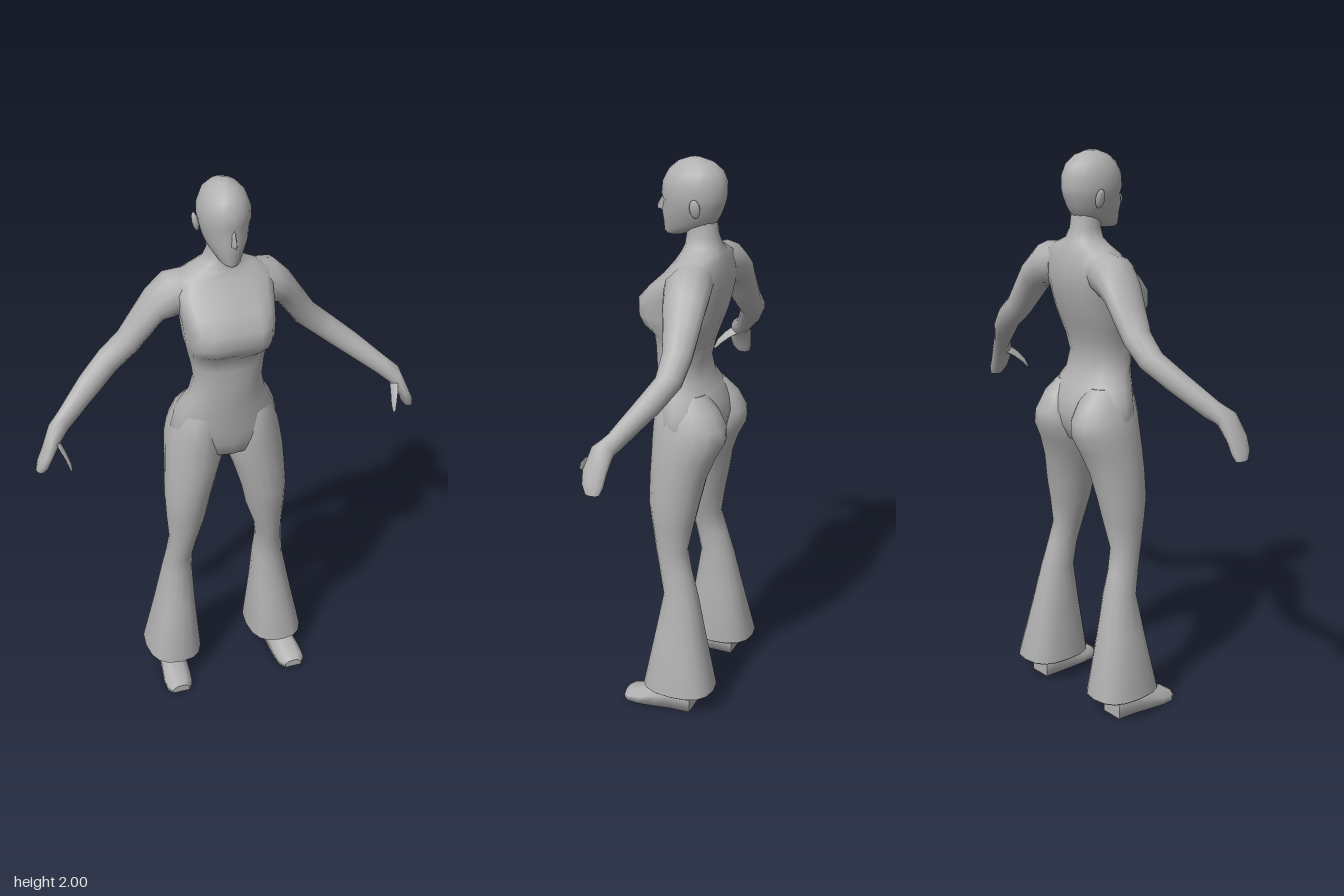
import * as THREE from 'three';

const grey = new THREE.MeshStandardMaterial({ color: 0xb0b0b0 });
grey.name = 'plain grey';
const SEG = 16;

// Skin a list of equal-length rings, cap both ends, and face it outward
function loft(name, rings, side = 1) {
  const n = rings[0].length, pos = [], idx = [];
  const add = (p) => pos.push(p[0] * side, p[1], p[2]);
  rings.forEach((r) => r.forEach(add));
  for (let i = 0; i < rings.length - 1; i++) {
    for (let j = 0; j < n; j++) {
      const a = i * n + j, b = i * n + (j + 1) % n;
      idx.push(a, b, a + n, b, b + n, a + n);
    }
  }
  [rings[0], rings[rings.length - 1]].forEach((r, end) => {
    const base = pos.length / 3;
    r.forEach(add);
    add([0, 1, 2].map((k) => r.reduce((s, p) => s + p[k], 0) / n));
    for (let j = 0; j < n; j++) {
      const a = base + j, b = base + (j + 1) % n;
      if (end) idx.push(a, b, base + n); else idx.push(b, a, base + n);
    }
  });
  // Signed volume tells whether the winding must be reversed
  const v = (i) => new THREE.Vector3().fromArray(pos, i * 3);
  let volume = 0;
  for (let i = 0; i < idx.length; i += 3) {
    volume += v(idx[i]).dot(v(idx[i + 1]).cross(v(idx[i + 2])));
  }
  if (volume < 0) idx.reverse();
  const g = new THREE.BufferGeometry();
  g.setAttribute('position', new THREE.Float32BufferAttribute(pos, 3));
  g.setIndex(idx);
  g.computeVertexNormals();
  const mesh = new THREE.Mesh(g, grey);
  mesh.name = name;
  return mesh;
}

const power = (v, e) => Math.sign(v) * Math.abs(v) ** e;

// Level cross-section: height, x range, front and back depth, squareness, centre dip
function level(y, x0, x1, front, back, e = 1, dip = 0) {
  return Array.from({ length: SEG }, (_, j) => {
    const a = (j / SEG) * Math.PI * 2, s = Math.sin(a);
    const x = (x0 + x1) / 2 + ((x1 - x0) / 2) * power(Math.cos(a), e);
    const z = (front + back) / 2 + ((front - back) / 2) * power(s, e);
    return [x, y, z - (s > 0.99 ? dip : 0)];
  });
}
const centred = (y, rx, front, back, e, dip) => level(y, -rx, rx, front, back, e, dip);

// Limb cross-section from its upper and lower edge in x, y and its depth
function limb(tx, ty, bx, by, z, rz, n = 12) {
  return Array.from({ length: n }, (_, j) => {
    const a = (j / n) * Math.PI * 2, t = (1 + Math.cos(a)) / 2;
    return [bx + (tx - bx) * t, by + (ty - by) * t, z + rz * Math.sin(a)];
  });
}

// Shoe cross-section at depth z, flat on the ground
function shoeSlice(z, x0, x1, top) {
  const w = x1 - x0;
  return [[x0, 0, z], [x1, 0, z], [x1, top * 0.55, z], [x1 - w * 0.25, top, z],
    [x0 + w * 0.25, top, z], [x0, top * 0.55, z]];
}

export function createModel() {
  const model = new THREE.Group();
  model.name = 'standingFigure';

  // Torso and neck
  model.add(loft('torso', [
    [0.965, 0.02, 0.03, -0.05], [1.0, 0.12, 0.085, -0.1], [1.05, 0.185, 0.098, -0.125],
    [1.1, 0.196, 0.102, -0.135], [1.15, 0.183, 0.106, -0.125], [1.2, 0.16, 0.11, -0.1],
    [1.24, 0.137, 0.115, -0.076], [1.3, 0.121, 0.117, -0.062, 0.9], [1.36, 0.128, 0.117, -0.075, 0.85],
    [1.405, 0.138, 0.12, -0.09, 0.8], [1.435, 0.146, 0.156, -0.1, 0.72, 0.012],
    [1.47, 0.15, 0.174, -0.112, 0.68, 0.015], [1.52, 0.155, 0.171, -0.125, 0.68, 0.015],
    [1.57, 0.165, 0.128, -0.134, 0.72, 0.006], [1.62, 0.175, 0.075, -0.133, 0.8],
    [1.665, 0.165, 0.038, -0.124, 0.9], [1.69, 0.11, 0.026, -0.115], [1.71, 0.066, 0.02, -0.107],
    [1.745, 0.05, 0.016, -0.096], [1.8, 0.048, 0.016, -0.088],
  ].map((r) => centred(...r))));

  // Head with jaw, brow and rounded crown
  model.add(loft('head', [
    [1.737, 0.022, 0.092, 0.03], [1.748, 0.036, 0.098, 0.0], [1.78, 0.057, 0.1, -0.085],
    [1.82, 0.075, 0.104, -0.107], [1.855, 0.083, 0.096, -0.12], [1.878, 0.087, 0.104, -0.125],
    [1.92, 0.086, 0.1, -0.125], [1.958, 0.072, 0.08, -0.11], [1.985, 0.047, 0.048, -0.078],
    [2.0, 0.016, 0.008, -0.032],
  ].map((r) => centred(...r))));

  // Nose
  model.add(loft('nose', [
    [[-0.016, 1.812, 0.085], [0.016, 1.812, 0.085], [0, 1.815, 0.125]],
    [[-0.014, 1.828, 0.085], [0.014, 1.828, 0.085], [0, 1.828, 0.126]],
    [[-0.007, 1.87, 0.085], [0.007, 1.87, 0.085], [0, 1.87, 0.102]],
  ]));

  for (const side of [1, -1]) {
    const label = side > 0 ? 'left' : 'right';

    // Ear
    const ear = new THREE.Mesh(new THREE.SphereGeometry(1, 8, 6), grey);
    ear.name = label + 'Ear';
    ear.scale.set(0.011, 0.034, 0.02);
    ear.position.set(side * 0.086, 1.85, -0.045);
    ear.rotation.z = -side * 0.2;
    model.add(ear);

    // Arm running into a flat hand
    model.add(loft(label + 'Arm', [
      [0.1, 1.685, 0.11, 1.53, -0.05, 0.07], [0.19, 1.672, 0.165, 1.52, -0.055, 0.083],
      [0.25, 1.61, 0.205, 1.505, -0.065, 0.076], [0.3, 1.535, 0.245, 1.45, -0.073, 0.064],
      [0.35, 1.46, 0.29, 1.39, -0.08, 0.052], [0.42, 1.397, 0.36, 1.33, -0.08, 0.045],
      [0.5, 1.333, 0.445, 1.27, -0.04, 0.044], [0.59, 1.255, 0.56, 1.19, 0.02, 0.033],
      [0.632, 1.222, 0.597, 1.165, 0.05, 0.04], [0.663, 1.145, 0.63, 1.12, 0.065, 0.043],
      [0.683, 1.1, 0.645, 1.085, 0.065, 0.038], [0.69, 1.068, 0.658, 1.065, 0.062, 0.025],
    ].map((r) => limb(...r)), side));

    // Thumb
    model.add(loft(label + 'Thumb', [
      [0.625, 1.195, 0.6, 1.165, 0.06, 0.022, 6], [0.615, 1.165, 0.588, 1.14, 0.1, 0.017, 6],
      [0.6, 1.135, 0.58, 1.115, 0.128, 0.013, 6], [0.59, 1.105, 0.58, 1.095, 0.145, 0.006, 6],
    ].map((r) => limb(...r)), side));

    // Flared trouser leg, with the buttock at its top
    model.add(loft(label + 'TrouserLeg', [
      [1.2, 0.03, 0.14, 0.07, -0.085], [1.15, 0.015, 0.175, 0.09, -0.135],
      [1.09, 0.003, 0.197, 0.098, -0.166], [1.04, 0.0, 0.208, 0.1, -0.166],
      [0.98, 0.004, 0.216, 0.1, -0.135], [0.9, 0.032, 0.221, 0.1, -0.105],
      [0.8, 0.062, 0.226, 0.098, -0.085], [0.72, 0.078, 0.223, 0.085, -0.068],
      [0.62, 0.112, 0.215, 0.068, -0.05], [0.54, 0.125, 0.222, 0.05, -0.07],
      [0.45, 0.122, 0.235, 0.032, -0.094], [0.3, 0.115, 0.263, 0.058, -0.125, 0.9],
      [0.085, 0.1, 0.307, 0.096, -0.17, 0.8], [0.075, 0.112, 0.295, 0.085, -0.158, 0.8],
    ].map((r) => level(...r)), side));

    // Shoe and ankle
    model.add(loft(label + 'Shoe', [
      [-0.093, 0.17, 0.255, 0.09], [-0.02, 0.17, 0.258, 0.095], [0.04, 0.17, 0.268, 0.078],
      [0.1, 0.172, 0.276, 0.052], [0.145, 0.178, 0.274, 0.04], [0.165, 0.195, 0.258, 0.028],
    ].map((r) => shoeSlice(...r)), side));
  }
  return model;
}
